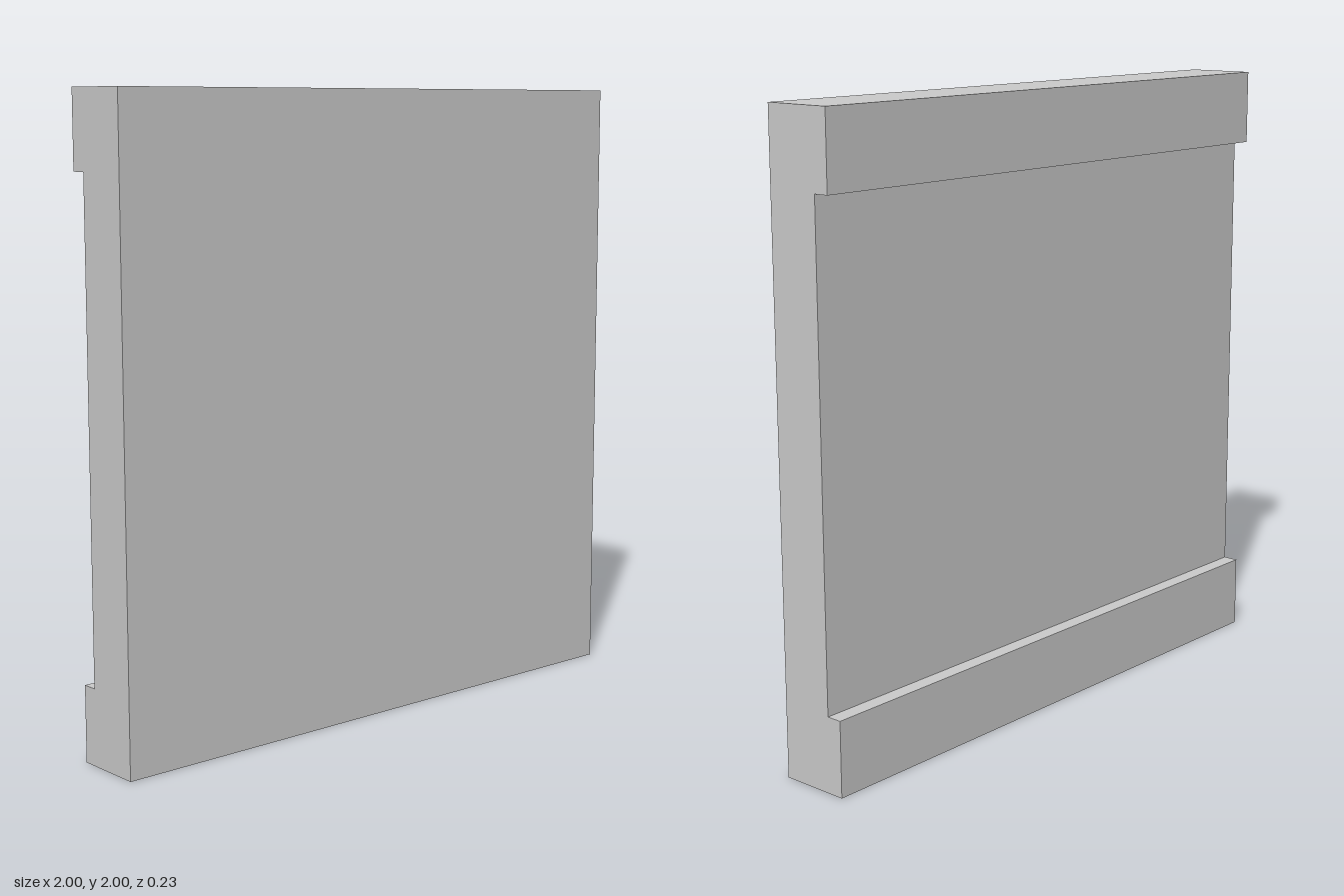
import * as THREE from 'three';

const WIDTH = 2, HEIGHT = 2;
const FRONT = 0.114, BACK = -0.114, RECESS = -0.064; // z of the faces
const RAIL = 0.24; // height of the rails along the back

export function createModel() {
  const group = new THREE.Group();
  group.name = 'wallPanel';

  const grey = new THREE.MeshStandardMaterial({ color: 0xcccccc });
  grey.name = 'light grey';

  // Side profile (z, y): flat front, thicker rails at the top and bottom of the back
  const profile = new THREE.Shape([
    [FRONT, 0], [FRONT, HEIGHT], [BACK, HEIGHT], [BACK, HEIGHT - RAIL],
    [RECESS, HEIGHT - RAIL], [RECESS, RAIL], [BACK, RAIL], [BACK, 0],
  ].map(([z, y]) => new THREE.Vector2(z, y)));

  // Run the profile across the full width
  const geometry = new THREE.ExtrudeGeometry(profile, { depth: WIDTH, bevelEnabled: false });
  geometry.rotateY(-Math.PI / 2);
  geometry.translate(WIDTH / 2, 0, 0);

  const panel = new THREE.Mesh(geometry, grey);
  panel.name = 'panelWithBackRails';
  group.add(panel);
  return group;
}
